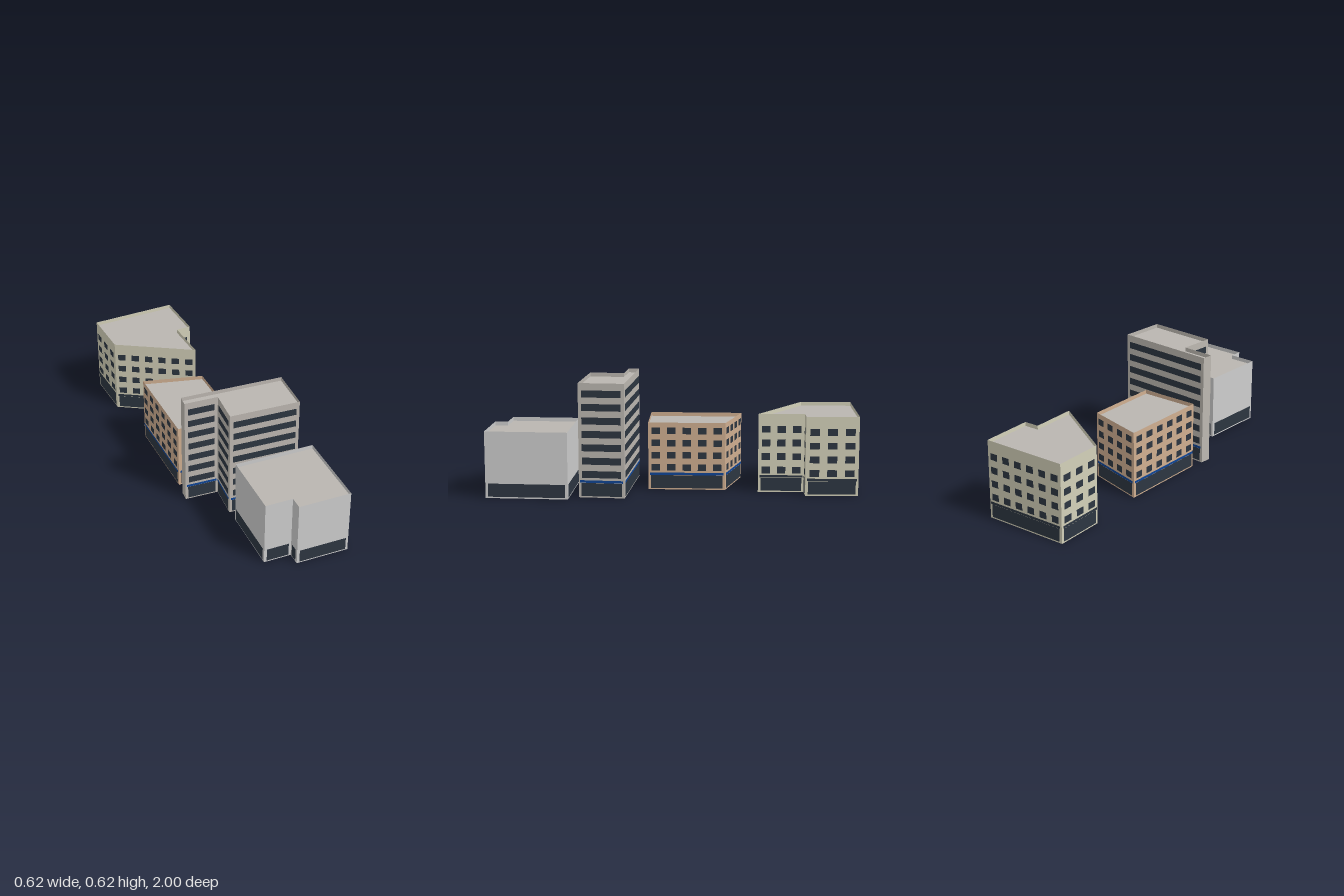
import * as THREE from 'three';

const mat = (name, color, side = THREE.FrontSide) => {
  const m = new THREE.MeshStandardMaterial({ color, side });
  m.name = name;
  return m;
};

export function createModel() {
  const D = THREE.DoubleSide;
  const roofMat = mat('roof grey', 0xbab6b0, D);
  const glass = mat('dark glass', 0x2d3641);
  const blue = mat('blue fascia', 0x0f4596);
  const cream = mat('cream wall', 0xd3d0b9, D);
  const tan = mat('tan wall', 0xcfae90, D);
  const stone = mat('warm grey wall', 0xbdb8b1, D);
  const pale = mat('pale grey wall', 0xcdcdcd, D);

  // Footprints are [x, z] corners, running clockwise seen from above
  const buildings = [
    { name: 'creamBlock', height: 0.433, wall: cream, sign: glass,
      floors: { count: 4, start: 0.105, pitch: 0.075, size: 0.037 },
      plan: [[-0.308, -0.99], [0.166, -1], [0.172, -0.715], [0.09, -0.712], [0.095, -0.462], [-0.303, -0.712]] },
    { name: 'tanBlock', height: 0.373, wall: tan, sign: blue,
      floors: { count: 4, start: 0.106, pitch: 0.068, size: 0.036 },
      plan: [[-0.268, -0.373], [0.055, -0.283], [0.049, 0.138], [-0.278, 0.137]] },
    { name: 'officeTower', height: 0.62, wall: stone, sign: blue, strips: true,
      floors: { count: 7, start: 0.108, pitch: 0.0726, size: 0.038 },
      plan: [[-0.29, 0.208], [0.272, 0.252], [0.252, 0.499], [-0.132, 0.469], [-0.113, 0.281], [-0.296, 0.267]] },
    { name: 'paleHall', height: 0.363, wall: pale,
      plan: [[-0.13, 0.536], [0.308, 0.553], [0.288, 0.997], [0, 0.985], [0.003, 0.914], [-0.147, 0.908]] },
  ];

  const model = new THREE.Group();
  model.name = 'cityBlock';

  for (const b of buildings) {
    const building = new THREE.Group();
    building.name = b.name;
    model.add(building);

    // Flat roof sunk behind the parapet
    const shape = new THREE.Shape(b.plan.map(([x, z]) => new THREE.Vector2(x, -z)));
    const roof = new THREE.Mesh(new THREE.ShapeGeometry(shape).rotateX(-Math.PI / 2), roofMat);
    roof.name = 'roof';
    roof.position.y = b.height - 0.022;
    building.add(roof);

    b.plan.forEach(([x0, z0], i) => {
      const [x1, z1] = b.plan[(i + 1) % b.plan.length];
      const dx = x1 - x0, dz = z1 - z0, length = Math.hypot(dx, dz);

      // Each facade faces outward along its own +z
      const facade = new THREE.Group();
      facade.name = 'facade';
      facade.position.set((x0 + x1) / 2, 0, (z0 + z1) / 2);
      facade.rotation.y = Math.atan2(dz, -dx);
      building.add(facade);

      const panel = (name, material, x, bottom, width, height, z) => {
        const mesh = new THREE.Mesh(new THREE.PlaneGeometry(width, height), material);
        mesh.name = name;
        mesh.position.set(x, bottom + height / 2, z);
        facade.add(mesh);
      };

      panel('wall', b.wall, 0, 0, length, b.height, 0);
      if (length < 0.07) return; // short end walls stay blank

      panel('shopFront', glass, 0, 0.008, length - 0.028, 0.072, 0.002);
      if (b.sign) panel('signBand', b.sign, 0, 0.0815, length - 0.016, 0.0135, 0.003);
      if (!b.floors) return;

      // Upper floors: ribbon windows or evenly spaced single windows
      const { count, start, pitch, size } = b.floors;
      const columns = Math.max(1, Math.round(length / 0.085));
      const cell = length / columns;
      for (let f = 0; f < count; f++) {
        const y = start + f * pitch;
        if (b.strips) {
          panel('ribbonWindow', glass, 0, y, length - 0.036, size, 0.002);
          continue;
        }
        for (let c = 0; c < columns; c++) {
          panel('window', glass, (c + 0.5) * cell - length / 2, y, cell * 0.55, size, 0.002);
        }
      }
    });
  }
  return model;
}
